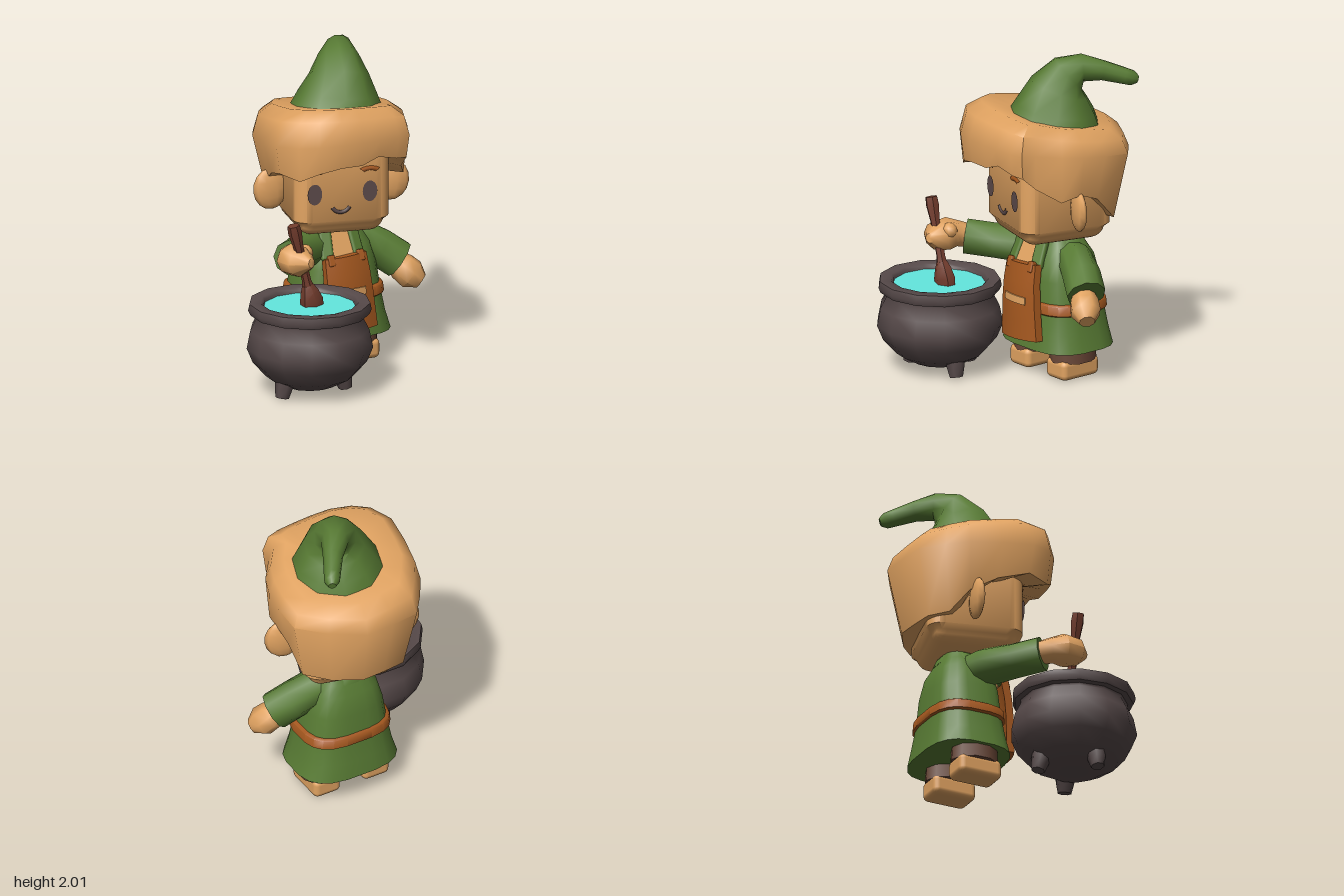
import * as THREE from 'three';
import { toCreasedNormals } from 'three/addons/utils/BufferGeometryUtils.js';
import { RoundedBoxGeometry } from 'three/addons/geometries/RoundedBoxGeometry.js';

const V = (x, y, z) => new THREE.Vector3(x, y, z);

function mat(name, color, side = THREE.FrontSide) {
  const m = new THREE.MeshStandardMaterial({ color, side });
  m.name = name;
  return m;
}

// Closed skin over a list of rings (arrays of points, counter-clockwise along the path)
function skin(rings, crease = 0.95) {
  const n = rings[0].length, pos = [], idx = [];
  rings.forEach(r => r.forEach(p => pos.push(p.x, p.y, p.z)));
  const last = rings.length - 1;
  for (let i = 0; i < last; i++) for (let k = 0; k < n; k++) {
    const a = i * n + k, b = i * n + (k + 1) % n;
    idx.push(a, b, b + n, a, b + n, a + n);
  }
  for (const i of [0, last]) {
    const c = rings[i].reduce((s, p) => s.add(p), V(0, 0, 0)).divideScalar(n);
    const ci = pos.length / 3;
    pos.push(c.x, c.y, c.z);
    for (let k = 0; k < n; k++) {
      const a = i * n + k, b = i * n + (k + 1) % n;
      if (i) idx.push(ci, a, b); else idx.push(ci, b, a);
    }
  }
  const g = new THREE.BufferGeometry();
  g.setAttribute('position', new THREE.Float32BufferAttribute(pos, 3));
  g.setIndex(idx);
  return toCreasedNormals(g, crease);
}

// Tapered limb along points [x, y, z, radius, second radius]; power above 2 squares the section
function limb(pts, sides, ref, power = 2) {
  const c = pts.map(p => V(p[0], p[1], p[2]));
  const bend = t => Math.sign(t) * Math.abs(t) ** (2 / power);
  const rings = pts.map((p, i) => {
    const t = c[Math.min(i + 1, c.length - 1)].clone().sub(c[Math.max(i - 1, 0)]).normalize();
    const u = ref.clone().cross(t).normalize(), v = t.clone().cross(u);
    return Array.from({ length: sides }, (_, k) => {
      const a = (k + 0.5) / sides * Math.PI * 2;
      return c[i].clone().addScaledVector(u, bend(Math.cos(a)) * p[3]).addScaledVector(v, bend(Math.sin(a)) * (p[4] ?? p[3]));
    });
  });
  return skin(rings);
}

// Moves the vertices of a geometry by a rule
function shape(geo, rule) {
  const p = geo.attributes.position, v = V(0, 0, 0);
  for (let i = 0; i < p.count; i++) {
    rule(v.fromBufferAttribute(p, i));
    p.setXYZ(i, v.x, v.y, v.z);
  }
  return toCreasedNormals(geo, 0.8);
}

export function createModel() {
  const root = new THREE.Group();
  root.name = 'cookWithCauldron';
  const tan = mat('tan', 0xe1a361), green = mat('green cloth', 0x587b34);
  const leather = mat('leather', 0xa5581f), iron = mat('dark iron', 0x574a4a);
  const wood = mat('red wood', 0x723c2d), shorts = mat('brown shorts', 0x694636);
  const brew = mat('turquoise brew', 0x68f2e9), dark = mat('eye grey', 0x5c4a4a, THREE.DoubleSide);
  const X = V(1, 0, 0), Y = V(0, 1, 0), Z = V(0, 0, 1);

  function add(parent, name, geo, m, x = 0, y = 0, z = 0, rx = 0, ry = 0, rz = 0) {
    const mesh = new THREE.Mesh(geo, m);
    mesh.name = name;
    mesh.position.set(x, y, z);
    mesh.rotation.set(rx, ry, rz);
    parent.add(mesh);
    return mesh;
  }
  function group(name, x, y, z, ry) {
    const g = new THREE.Group();
    g.name = name;
    g.position.set(x, y, z);
    g.rotation.y = ry;
    root.add(g);
    return g;
  }

  // Torso: squarish tunic with belt
  const torso = group('torso', 0.165, 0, -0.24, 0);
  add(torso, 'tunic', limb([
    [0, 0.19, 0, 0.335, 0.268], [0, 0.3, 0, 0.3, 0.25], [0, 0.45, 0, 0.272, 0.225], [0, 0.62, 0, 0.245, 0.212],
    [0, 0.75, 0, 0.21, 0.183], [0, 0.82, 0, 0.165, 0.143], [0, 0.88, 0, 0.13, 0.12]], 20, Z, 3), green);
  add(torso, 'belt', limb([[0, 0.415, 0, 0.28, 0.23], [0, 0.425, 0, 0.295, 0.242],
    [0, 0.48, 0, 0.288, 0.238], [0, 0.49, 0, 0.27, 0.225]], 20, Z, 3), leather);
  add(torso, 'collar', limb([[0, 0.81, 0, 0.18, 0.155], [0, 0.86, 0, 0.155, 0.135],
    [0, 0.87, 0, 0.13, 0.12]], 12, Z), green);

  // Open neckline
  add(torso, 'chest', new THREE.BoxGeometry(0.15, 0.19, 0.03), tan, -0.055, 0.785, 0.178, -0.4);
  add(torso, 'neck', new THREE.CylinderGeometry(0.1, 0.11, 0.12, 10), tan, 0, 0.87, 0);

  // Apron, narrower at the top, curving back toward the chest and sides
  const apron = new THREE.Group();
  apron.name = 'apron';
  apron.position.set(-0.04, 0.485, 0.287);
  apron.rotation.set(-0.05, -0.04, 0.06);
  torso.add(apron);
  const wrap = v => {
    v.x *= 1 - 0.4 * v.y;
    v.z -= 1.3 * v.x * v.x + 0.5 * Math.max(v.y, 0) ** 2;
  };
  add(apron, 'apronCloth', shape(new THREE.BoxGeometry(0.31, 0.47, 0.05, 6, 4, 1), wrap), leather);
  add(apron, 'apronPatch', shape(new THREE.BoxGeometry(0.19, 0.045, 0.009, 6, 1, 1), wrap), tan, 0, 0.015, 0.028, 0, 0, -0.06);

  for (const s of [-1, 1]) {
    const side = s > 0 ? 'left' : 'right';
    add(torso, side + 'Lapel', new RoundedBoxGeometry(0.08, 0.2, 0.045, 2, 0.018), green, -0.055 + s * 0.1, 0.785, 0.178, -0.4, s * 0.25, s * 0.08);
    add(apron, side + 'ApronTab', new RoundedBoxGeometry(0.045, 0.07, 0.04, 1, 0.01), leather, s * 0.1, 0.22, -0.03, -0.25);
    const leg = add(torso, side + 'ShortsLeg', new THREE.CylinderGeometry(0.12, 0.128, 0.15, 10), shorts, -0.018 + s * 0.17, 0.18, 0.01);
    leg.scale.z = 1.2;
    add(torso, side + 'Foot', new RoundedBoxGeometry(0.185, 0.125, 0.285, 2, 0.035), tan, -0.018 + s * 0.172, 0.0625, 0.015);
  }

  // Arms
  add(root, 'rightSleeve', limb([[0.12, 0.74, -0.23, 0.12], [-0.05, 0.76, -0.16, 0.118],
    [-0.19, 0.77, -0.04, 0.108], [-0.32, 0.79, 0.085, 0.108]], 9, Y), green);
  add(root, 'rightHand', limb([[-0.3, 0.79, 0.05, 0.07], [-0.345, 0.81, 0.13, 0.08], [-0.365, 0.82, 0.2, 0.112, 0.1],
    [-0.36, 0.82, 0.28, 0.1, 0.09], [-0.33, 0.83, 0.36, 0.03]], 9, Y), tan);
  add(root, 'rightThumb', new THREE.SphereGeometry(0.05, 8, 6), tan, -0.3, 0.86, 0.23);
  add(root, 'leftSleeve', limb([[0.22, 0.75, -0.23, 0.1], [0.35, 0.74, -0.22, 0.115],
    [0.46, 0.67, -0.18, 0.12], [0.565, 0.59, -0.13, 0.12]], 9, Y), green);
  add(root, 'leftHand', limb([[0.53, 0.6, -0.14, 0.06], [0.57, 0.55, -0.11, 0.09],
    [0.62, 0.5, -0.08, 0.095], [0.67, 0.46, -0.05, 0.05]], 8, Y), tan);

  // Head and face, turned toward the pot
  const head = group('head', 0.13, 0, -0.2, -0.26);
  const skull = shape(new RoundedBoxGeometry(0.6, 0.65, 0.6, 3, 0.1), v => {
    if (v.y < -0.23) { v.x *= 0.92; v.z *= 0.92; }
  });
  add(head, 'skull', skull, tan, 0, 1.195, 0);
  const face = 0.307;
  for (const s of [-1, 1]) {
    const side = s > 0 ? 'left' : 'right', fx = s * 0.173 - 0.013;
    const ear = add(head, side + 'Ear', new THREE.SphereGeometry(1, 10, 8), tan, s * 0.38, 1.11, -0.02, 0, -s * 0.1, -s * 0.1);
    ear.scale.set(0.11, 0.13, 0.04);
    add(head, side + 'Eye', new THREE.CircleGeometry(1, 16), dark, fx, 1.15, face).scale.set(0.046, 0.066, 1);
    const brow = add(head, side + 'Brow', new THREE.TorusGeometry(0.075, 0.022, 5, 8, 1.4), leather, fx, 1.245, face - 0.005);
    brow.geometry.rotateZ(Math.PI / 2 - 0.7);
    brow.scale.set(1, 0.65, 0.5);
  }
  const mouth = add(head, 'mouth', new THREE.TorusGeometry(0.06, 0.013, 5, 10, 2.2), dark, -0.02, 1.088, 0.3, 0, 0, -Math.PI / 2 - 1.1);
  mouth.scale.z = 0.7;

  // Hair: outline [x, hem height, z] running round the head
  const outline = [[-0.06, 1.36, 0.27], [0.08, 1.36, 0.28], [0.2, 1.4, 0.28], [0.33, 1.37, 0.275], [0.415, 1.36, 0.255], [0.43, 1.28, 0.16],
    [0.53, 1.19, 0.03], [0.58, 1.22, -0.1], [0.6, 1.17, -0.25], [0.6, 1.02, -0.43], [0.44, 1, -0.57], [0.235, 1, -0.69], [0.05, 1, -0.68],
    [-0.13, 1, -0.66], [-0.23, 1.02, -0.53], [-0.31, 1.16, -0.4], [-0.35, 1.25, -0.2], [-0.37, 1.3, 0], [-0.3, 1.28, 0.15], [-0.2, 1.33, 0.225]];
  const hem = outline.map(p => V(...p));
  const ring = (scale, height) => hem.map(p => {
    const k = typeof scale === 'function' ? scale(p) : scale;
    const q = V(0.13 + (p.x - 0.13) * k, 0, -0.2 + (p.z + 0.2) * k);
    q.y = height(p, q);
    return q;
  });
  const hemScale = p => 0.82 + 0.14 * THREE.MathUtils.smoothstep(p.z, -0.45, 0.15);
  add(root, 'hair', skin([
    ring(0.55, p => p.y + 0.02), ring(hemScale, p => p.y),
    ring(1, p => 1.46 + 0.1 * (p.z + 0.2)),
    ring(0.93, (p, q) => 1.575 + 0.15 * (q.z + 0.2) - 0.06 * (q.x - 0.13)),
    ring(0.76, (p, q) => 1.635 + 0.16 * (q.z + 0.2) - 0.08 * (q.x - 0.13)),
    ring(0.4, (p, q) => 1.62 + 0.16 * (q.z + 0.2) - 0.08 * (q.x - 0.13))]), tan);

  // Bent pointed hat
  add(root, 'hat', limb([[0.165, 1.55, -0.2, 0.31], [0.18, 1.68, -0.21, 0.248], [0.195, 1.8, -0.225, 0.185],
    [0.22, 1.885, -0.275, 0.13], [0.265, 1.92, -0.35, 0.085], [0.34, 1.9, -0.45, 0.062],
    [0.41, 1.86, -0.56, 0.052], [0.435, 1.845, -0.6, 0.048], [0.45, 1.835, -0.63, 0.025]], 10, X), green);

  // Cauldron with rim, feet and brew
  const pot = group('cauldron', -0.31, 0, 0.3, 0);
  const profile = [[0, 0.045], [0.16, 0.05], [0.27, 0.11], [0.35, 0.2], [0.387, 0.29], [0.365, 0.4], [0.325, 0.48], [0.33, 0.495],
    [0.365, 0.5], [0.378, 0.53], [0.37, 0.57], [0.3, 0.57], [0.285, 0.555], [0.28, 0.5]].map(p => new THREE.Vector2(...p));
  add(pot, 'potBody', toCreasedNormals(new THREE.LatheGeometry(profile, 13), 0.95), iron);
  for (const [x, z] of [[-0.21, 0.05], [0.21, 0.05], [0, -0.23]]) {
    const l = Math.hypot(x, z);
    add(pot, 'potFoot', limb([[x * 1.05, 0.005, z * 1.05, 0.042], [x, 0.06, z, 0.055], [x - x / l * 0.02, 0.14, z - z / l * 0.02, 0.07]], 7, Z), iron);
  }
  add(pot, 'brew', new THREE.CylinderGeometry(0.29, 0.28, 0.02, 13), brew, 0, 0.53, 0);

  // Wooden stirring spoon
  add(root, 'spoonHandle', limb([[-0.412, 1.06, 0.28, 0.038], [-0.4, 1.01, 0.28, 0.042], [-0.375, 0.91, 0.28, 0.03],
    [-0.32, 0.7, 0.28, 0.028], [-0.31, 0.66, 0.28, 0.035]], 6, Z), wood);
  add(root, 'spoonPaddle', limb([[-0.312, 0.67, 0.28, 0.035], [-0.3, 0.63, 0.28, 0.055, 0.05],
    [-0.285, 0.57, 0.28, 0.075, 0.06], [-0.275, 0.5, 0.28, 0.07, 0.05]], 6, Z), wood);

  return root;
}
